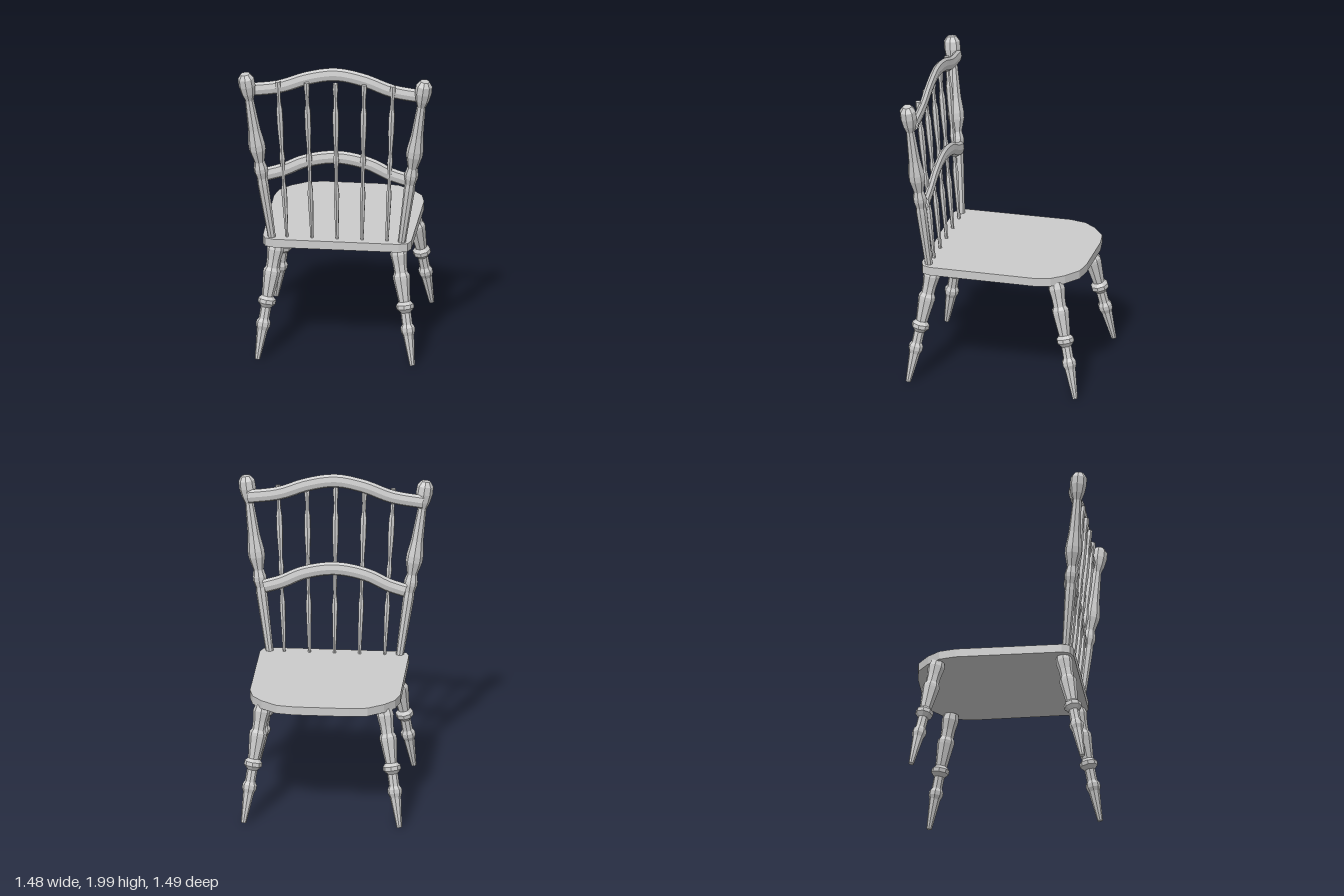
import * as THREE from 'three';

const material = new THREE.MeshStandardMaterial({ color: 0xcccccc, flatShading: true });

// Turned part on a leaning axis; profile is a list of [radius, height]
function turned(name, bottom, top, profile, sides) {
  const axis = new THREE.Vector3().subVectors(top, bottom);
  const stretch = axis.length() / axis.y;
  const pts = profile.map(([r, y]) => new THREE.Vector2(r, (y - bottom.y) * stretch));
  pts.unshift(new THREE.Vector2(0, pts[0].y));
  pts.push(new THREE.Vector2(0, pts[pts.length - 1].y));
  const mesh = new THREE.Mesh(new THREE.LatheGeometry(pts, sides), material);
  mesh.name = name;
  mesh.position.copy(bottom);
  mesh.quaternion.setFromUnitVectors(new THREE.Vector3(0, 1, 0), axis.normalize());
  return mesh;
}

// Arched rail, taller than it is deep; half is a list of [x, y] from the middle outwards
function rail(name, half, z) {
  const right = half.map(([x, y]) => new THREE.Vector3(x, y, 0));
  const left = half.slice(1).reverse().map(([x, y]) => new THREE.Vector3(-x, y, 0));
  const curve = new THREE.CatmullRomCurve3([...left, ...right]);
  const geo = new THREE.TubeGeometry(curve, 24, 0.045, 8, false);
  geo.scale(1, 1, 0.55);
  const mesh = new THREE.Mesh(geo, material);
  material.side = THREE.DoubleSide;
  mesh.name = name;
  mesh.position.z = z;
  return mesh;
}

export function createModel() {
  const V = (x, y, z) => new THREE.Vector3(x, y, z);
  const chair = new THREE.Group();
  chair.name = 'chair';

  // Seat: rounded front, small rounded corners at the back
  const side = [[0.175, -0.595], [0.29, -0.577], [0.39, -0.505], [0.455, -0.426],
    [0.48, -0.32], [0.475, 0.36], [0.455, 0.41], [0.4, 0.43]];
  const outline = [...side, ...side.slice().reverse().map(([x, z]) => [-x, z])];
  const shape = new THREE.Shape(outline.map(([x, z]) => new THREE.Vector2(x, -z)));
  const seatGeo = new THREE.ExtrudeGeometry(shape, { depth: 0.055, bevelEnabled: false });
  seatGeo.rotateX(-Math.PI / 2);
  const seat = new THREE.Mesh(seatGeo, material);
  seat.name = 'seat';
  seat.position.y = 0.75;
  chair.add(seat);

  // Legs and back posts
  const legProfile = [[0.017, 0.008], [0.036, 0.2], [0.046, 0.225], [0.046, 0.25], [0.034, 0.27],
    [0.034, 0.345], [0.057, 0.37], [0.057, 0.395], [0.038, 0.415], [0.05, 0.52], [0.055, 0.56],
    [0.055, 0.58], [0.043, 0.6], [0.045, 0.65], [0.055, 0.715], [0.046, 0.755]];
  const postProfile = [[0.025, 0.8], [0.036, 1.18], [0.033, 1.22], [0.044, 1.265], [0.044, 1.29],
    [0.033, 1.335], [0.054, 1.42], [0.054, 1.46], [0.04, 1.56], [0.028, 1.77], [0.044, 1.815],
    [0.054, 1.87], [0.052, 1.92], [0.03, 1.95]];
  for (const [s, label] of [[1, 'left'], [-1, 'right']]) {
    chair.add(turned(label + 'FrontLeg', V(s * 0.497, 0.008, -0.6), V(s * 0.388, 0.755, -0.444), legProfile, 8));
    chair.add(turned(label + 'BackLeg', V(s * 0.495, 0.008, 0.495), V(s * 0.388, 0.755, 0.36), legProfile, 8));
    chair.add(turned(label + 'BackPost', V(s * 0.415, 0.8, 0.38), V(s * 0.575, 1.95, 0.483), postProfile, 8));
  }

  // Spindles fanning out towards the top
  const spindleProfile = [[0.01, 0.8], [0.019, 1.1], [0.019, 1.13], [0.012, 1.19], [0.013, 1.3],
    [0.02, 1.36], [0.013, 1.42], [0.021, 1.58], [0.021, 1.7], [0.014, 1.74], [0.013, 1.8], [0.019, 1.86], [0.017, 1.9]];
  for (let i = -2; i <= 2; i++) {
    chair.add(turned('spindle', V(i * 0.16, 0.8, 0.37), V(i * 0.184, 1.9, 0.463), spindleProfile, 6));
  }

  // Rails in front of the spindles
  chair.add(rail('topRail', [[0, 1.952], [0.18, 1.92], [0.36, 1.855], [0.56, 1.825]], 0.437));
  chair.add(rail('middleRail', [[0, 1.37], [0.2, 1.335], [0.34, 1.27], [0.45, 1.235]], 0.393));

  // The whole chair stands turned about the vertical
  chair.position.set(-0.033, 0, 0.015);
  chair.rotation.y = 0.421;
  const model = new THREE.Group();
  model.add(chair);
  return model;
}
